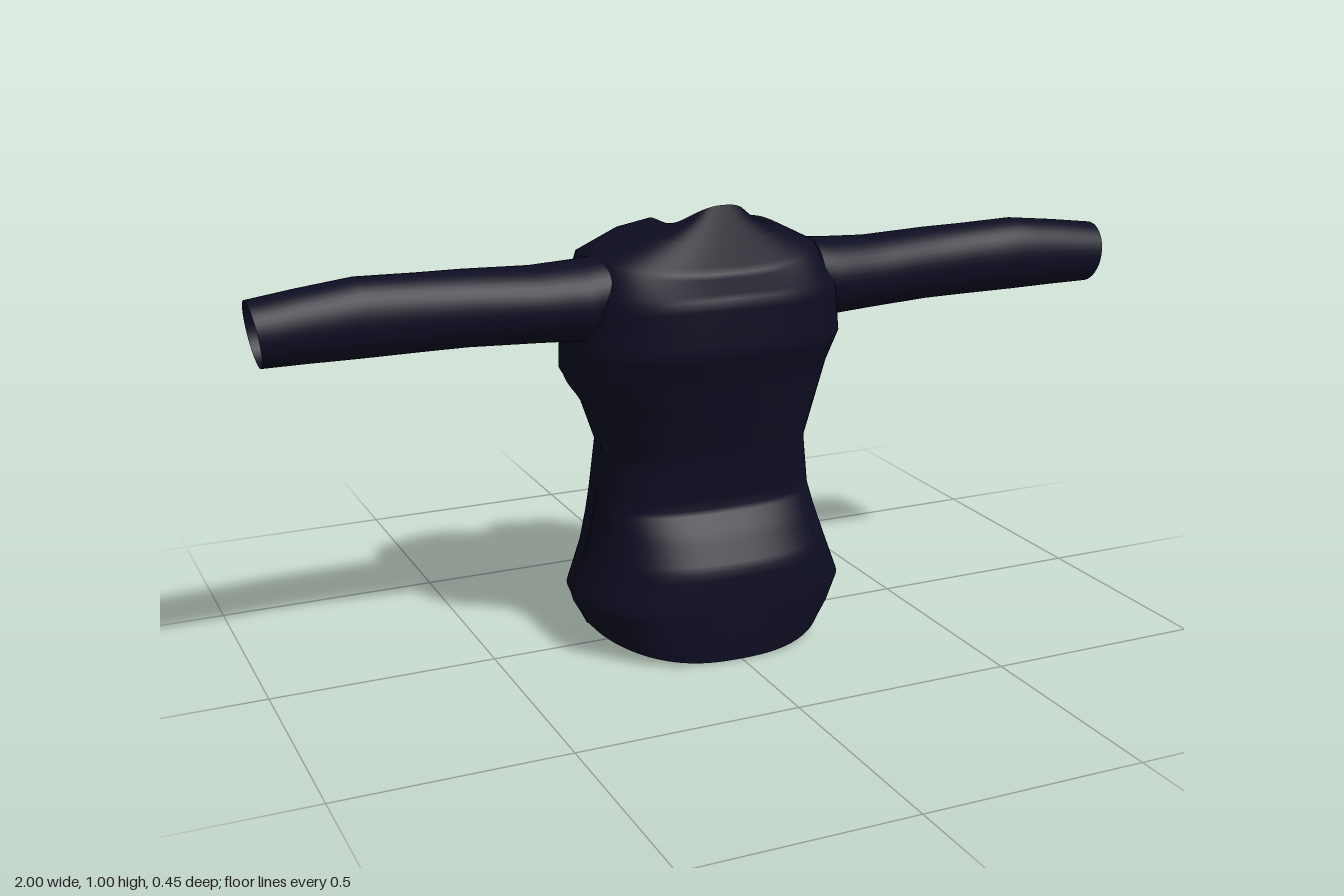
import * as THREE from 'three';

const SEG = 96;
const cloth = new THREE.MeshStandardMaterial({ color: 0x0d0d22, side: THREE.DoubleSide });
cloth.name = 'navy cloth';

// Skin closed rings of points; skip(centre) leaves holes
function loft(rings, name, skip = () => false) {
  const n = rings[0].length, index = [];
  const P = rings.flat();
  for (let r = 0; r < rings.length - 1; r++) {
    for (let i = 0; i < n; i++) {
      const a = r * n + i, b = r * n + (i + 1) % n, c = a + n, d = b + n;
      const mid = P[a].clone().add(P[b]).add(P[c]).add(P[d]).multiplyScalar(0.25);
      if (!skip(mid)) index.push(a, c, b, b, c, d);
    }
  }
  const g = new THREE.BufferGeometry().setFromPoints(P);
  g.setIndex(index);
  g.computeVertexNormals();
  const mesh = new THREE.Mesh(g, cloth);
  mesh.name = name;
  return mesh;
}

// Insert evenly spaced rows between profile rows
function refine(rows, steps) {
  const out = [];
  for (let i = 0; i < rows.length - 1; i++) {
    for (let k = 0; k < steps; k++) {
      out.push(rows[i].map((v, j) => v + (rows[i + 1][j] - v) * k / steps));
    }
  }
  out.push(rows[rows.length - 1]);
  return out;
}

// Rounded-box body section whose height differs at +z, -z and the sides
function bodyPoint([yF, yB, yS, wL, wR, zF, zB], a) {
  const c = Math.cos(a), s = Math.sin(a), e = 2 / 2.5;
  const x = Math.pow(Math.abs(c), e) * (c > 0 ? wR : -wL);
  const z = Math.pow(Math.abs(s), e) * (s > 0 ? zF : zB);
  const y = yS + (s > 0 ? (yF - yS) * s * s : (yB - yS) * Math.pow(-s, 3));
  return new THREE.Vector3(x, y, z);
}

function ring(n, fn) {
  return Array.from({ length: n }, (_, i) => fn(i / n * Math.PI * 2));
}

export function createModel() {
  const model = new THREE.Group();
  model.name = 'shirt';

  // Rows: yFront, yBack, ySide, halfWidth -x, halfWidth +x, z front, z back
  const level = (y, ...rest) => [y, y, y, ...rest];
  const body = [
    [0, 0.03, 0.04, 0.27, 0.265, 0.225, -0.208],
    [0.06, 0.06, 0.07, 0.285, 0.295, 0.225, -0.217],
    level(0.12, 0.307, 0.32, 0.224, -0.22),
    level(0.21, 0.272, 0.285, 0.22, -0.223),
    level(0.28, 0.255, 0.265, 0.18, -0.225),
    level(0.33, 0.247, 0.255, 0.142, -0.22),
    level(0.45, 0.23, 0.24, 0.155, -0.218),
    level(0.55, 0.265, 0.265, 0.18, -0.225),
    level(0.63, 0.315, 0.285, 0.2, -0.222),
    level(0.7, 0.315, 0.31, 0.228, -0.217),
    [0.82, 0.755, 0.8, 0.3, 0.3, 0.225, -0.212],
    [0.86, 0.768, 0.89, 0.27, 0.26, 0.165, -0.21],
    [0.93, 0.775, 0.935, 0.17, 0.17, 0.145, -0.207],
  ];
  const rim = [1, 0.78, 0.95, 0.09, 0.085, 0.125, -0.2];
  const rows = refine(body, 5);
  const toRings = list => list.map(r => ring(SEG, a => bodyPoint(r, a)));

  // Torso, with armholes left open
  const inArmhole = p => Math.abs(p.x) > 0.18 &&
    ((p.z - 0.04) / 0.075) ** 2 + ((p.y - 0.803) / 0.08) ** 2 < 1;
  model.add(loft(toRings(rows), 'torso', inArmhole));

  // Neckline rising into the collar
  model.add(loft(toRings(refine([body[body.length - 1], rim], 4)), 'collar'));

  // Sleeves: x, bottom, top, z back, z front
  const sleeve = [
    [0.25, 0.725, 0.895, -0.055, 0.12],
    [0.3, 0.715, 0.89, -0.065, 0.122],
    [0.4, 0.72, 0.885, -0.06, 0.112],
    [0.55, 0.726, 0.89, -0.055, 0.102],
    [0.65, 0.728, 0.893, -0.04, 0.102],
    [0.78, 0.73, 0.898, -0.03, 0.108],
    [0.9, 0.732, 0.885, -0.025, 0.11],
    [1, 0.733, 0.872, -0.02, 0.112],
  ];
  for (const side of [1, -1]) {
    const rings = refine(sleeve, 3).map(([x, y0, y1, z0, z1]) => ring(40, a => {
      const s = Math.sin(a) * side;
      const slant = 0.02 * Math.max(0, x - 0.8) / 0.2 * (1 - s) / 2; // angled cuff
      return new THREE.Vector3(side * (x - slant),
        (y0 + y1) / 2 + s * (y1 - y0) / 2,
        (z0 + z1) / 2 - Math.cos(a) * (z1 - z0) / 2);
    }));
    // Reverse so that faces point outward
    rings.forEach(r => r.reverse());
    const mesh = loft(rings, side > 0 ? 'leftSleeve' : 'rightSleeve');
    model.add(mesh);
  }

  // Side seams from hem to underarm
  for (const side of [1, -1]) {
    const angle = side > 0 ? -0.05 : Math.PI + 0.05;
    const pts = body.slice(0, 10).map(r => bodyPoint(r, angle));
    const path = new THREE.CatmullRomCurve3(pts, false, 'centripetal');
    const seam = new THREE.Mesh(new THREE.TubeGeometry(path, 40, 0.003, 5), cloth);
    seam.name = side > 0 ? 'leftSeam' : 'rightSeam';
    model.add(seam);
  }
  return model;
}
